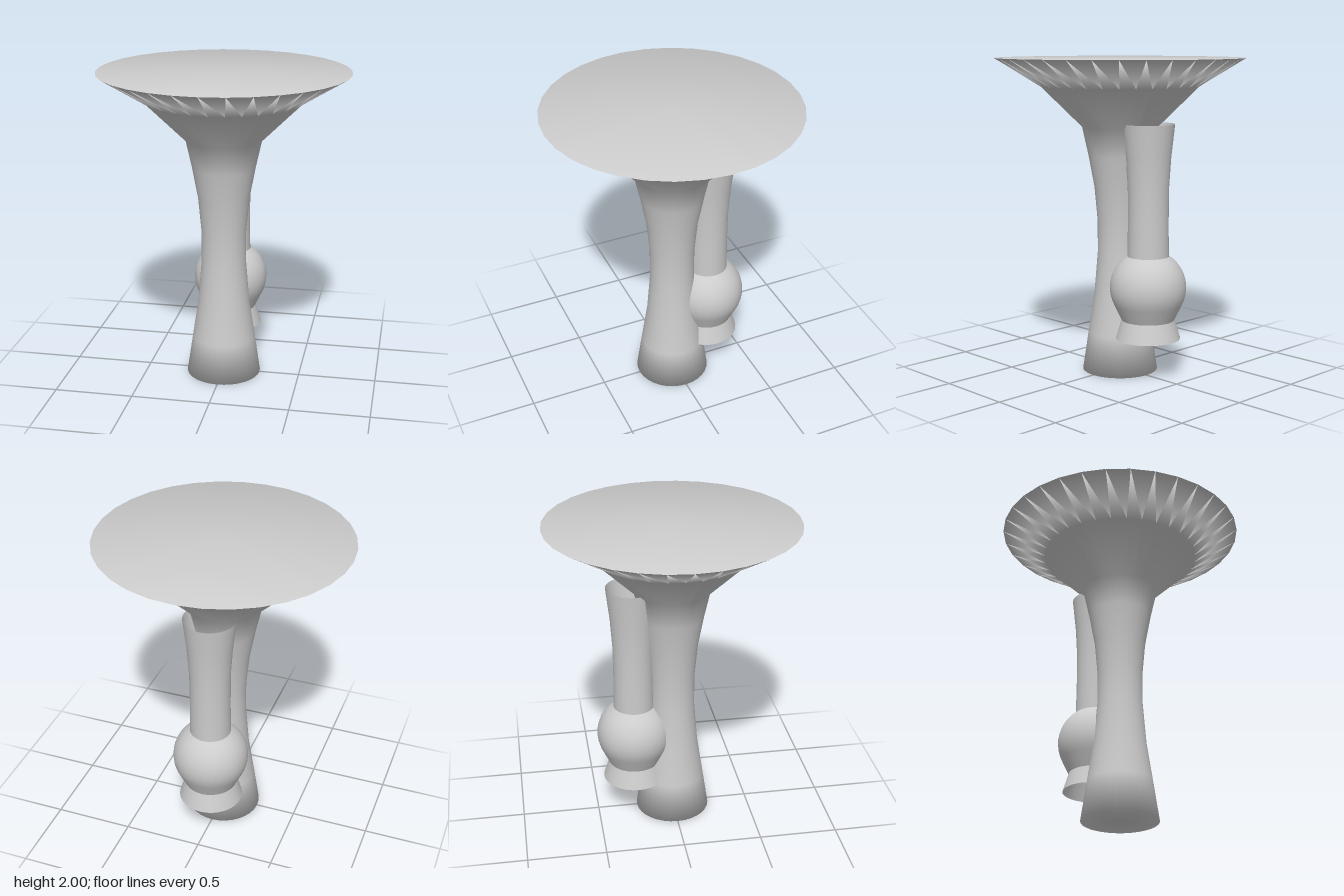
import * as THREE from 'three';

const SIDES = 32;

// Turns a bottom-to-top list of [radius, height] into a named mesh.
function turned(name, profile, side = THREE.FrontSide) {
  const points = profile.map(([r, y]) => new THREE.Vector2(r, y));
  const material = new THREE.MeshStandardMaterial({ color: 0xcccccc, side });
  const mesh = new THREE.Mesh(new THREE.LatheGeometry(points, SIDES), material);
  mesh.name = name;
  return mesh;
}

export function createModel() {
  const model = new THREE.Group();
  model.name = 'pedestal';

  // Waisted column flaring into a wide flat top, closed at both ends
  model.add(turned('column', [
    [0, 0], [0.24, 0], [0.203, 0.25], [0.165, 0.5], [0.143, 0.77], [0.143, 0.97],
    [0.163, 1.19], [0.2, 1.39], [0.24, 1.57], [0.5, 1.825], [0.785, 2], [0, 2],
  ]));

  // Hollow pipe sunk into the back of the column
  const pipe = new THREE.Group();
  pipe.name = 'backPipe';
  pipe.position.z = -0.25;

  // Flared foot
  pipe.add(turned('pipeFoot', [[0.205, 0.25], [0.168, 0.37]], THREE.DoubleSide));

  // Round bulb: tapered neck, then a sphere arc up to the tube
  const bulb = [[0.168, 0.37]];
  for (let i = 0; i <= 10; i++) {
    const a = THREE.MathUtils.lerp(-0.48, 0.99, i / 10);
    bulb.push([0.24 * Math.cos(a), 0.575 + 0.24 * Math.sin(a)]);
  }
  pipe.add(turned('pipeBulb', bulb, THREE.DoubleSide));

  // Upright tube with a slightly flared open mouth
  pipe.add(turned('pipeTube', [
    [0.13, 0.775], [0.127, 0.97], [0.128, 1.2], [0.14, 1.39], [0.163, 1.6],
  ], THREE.DoubleSide));

  model.add(pipe);
  return model;
}
